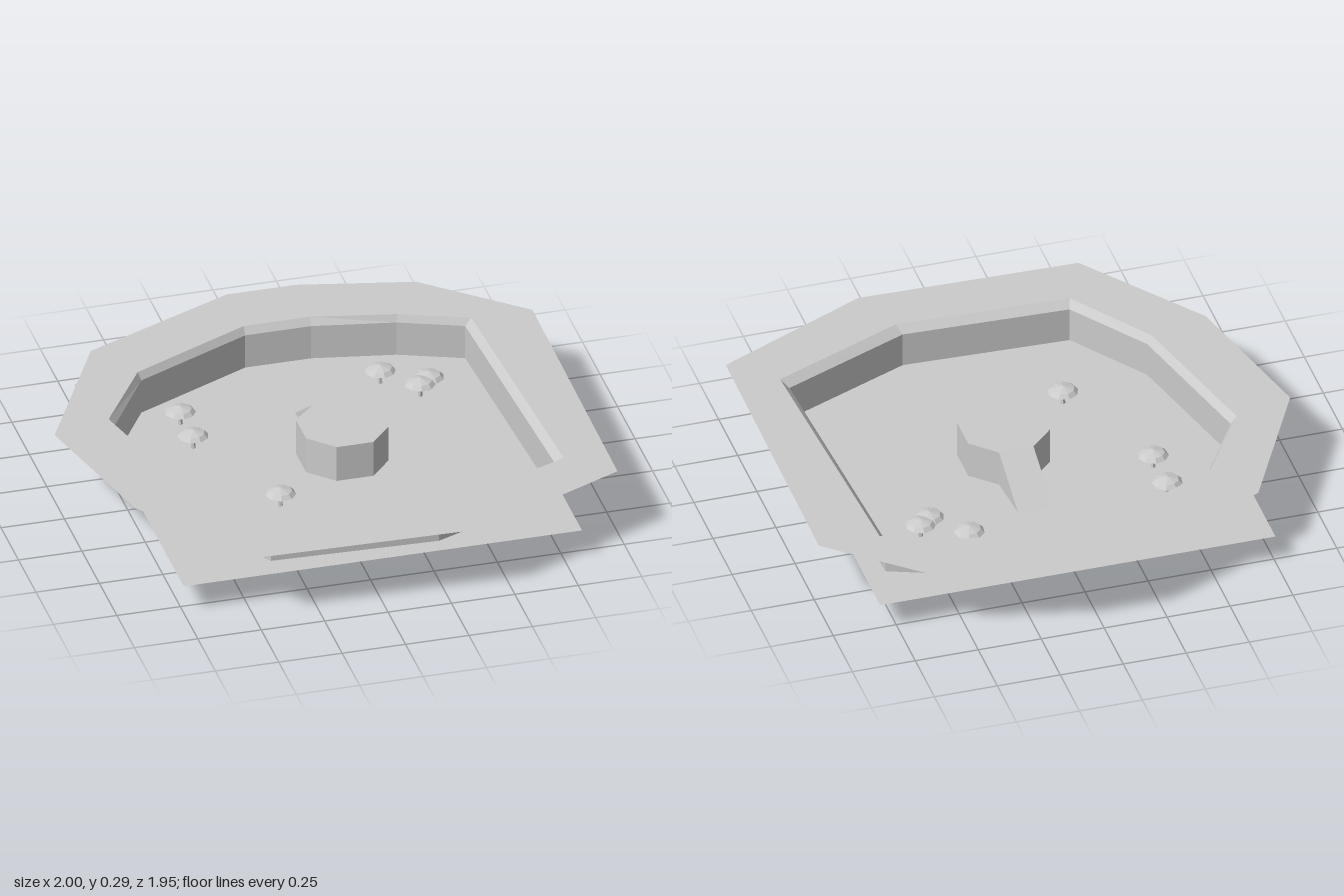
import * as THREE from 'three';

const material = new THREE.MeshStandardMaterial({
  color: 0xcccccc, flatShading: true, side: THREE.DoubleSide,
});

function addMesh(parent, geometry, name) {
  const mesh = new THREE.Mesh(geometry, material);
  mesh.name = name;
  parent.add(mesh);
  return mesh;
}

// Outline of [x, z] pairs lifted to a height
const at = (outline, y) => outline.map(([x, z]) => [x, y, z]);

// Flat-faced strip of quads between two matching rows of points
function strip(a, b, closed = true) {
  const pos = [];
  const n = a.length;
  for (let i = 0; i < (closed ? n : n - 1); i++) {
    const j = (i + 1) % n;
    pos.push(...a[i], ...b[i], ...b[j], ...a[i], ...b[j], ...a[j]);
  }
  const g = new THREE.BufferGeometry();
  g.setAttribute('position', new THREE.Float32BufferAttribute(pos, 3));
  g.computeVertexNormals();
  return g;
}

export function createModel() {
  const model = new THREE.Group();
  model.name = 'sunkenArena';

  const RIM_Y = 0.29, WALL_TOP = 0.26, WALL_BOTTOM = 0.1, FLOOR_Y = 0.118;
  const rimOuter = [[-0.09, -0.98], [0.18, -0.98], [0.63, -0.88], [1, -0.56], [0.99, 0.69],
    [0.38, 0.97], [-0.49, 0.95], [-0.85, 0.47], [-1, -0.14], [-0.7, -0.71]];
  const rimInner = [[-0.09, -0.735], [0.17, -0.735], [0.5, -0.665], [0.76, -0.565], [0.82, 0.54],
    [0.295, 0.76], [-0.39, 0.735], [-0.615, 0.41], [-0.77, -0.2], [-0.57, -0.51]];
  const wall = [[-0.09, -0.715], [0.17, -0.715], [0.49, -0.655], [0.735, -0.56], [0.79, 0.515],
    [0.275, 0.73], [-0.38, 0.705], [-0.595, 0.4], [-0.745, -0.2], [-0.56, -0.495]];

  // Flat surrounding rim, sloping lip and upright pit wall
  addMesh(model, strip(at(rimOuter, RIM_Y), at(rimInner, RIM_Y)), 'rim');
  addMesh(model, strip(at(rimInner, RIM_Y), at(wall, WALL_TOP)), 'lip');
  addMesh(model, strip(at(wall, WALL_TOP), at(wall, WALL_BOTTOM)), 'pitWall');

  // Square floor sheet
  const floor = addMesh(model, new THREE.PlaneGeometry(1.57, 1.57).rotateX(-Math.PI / 2), 'floor');
  floor.position.set(0.035, FLOOR_Y, 0.015);

  // Eight-sided platform, open below and on the edge where the ramp joins
  const TOP_Y = 0.267, BASE_Y = 0.037;
  const octagon = [[0.155, -0.135], [0.25, -0.045], [0.25, 0.1], [0.165, 0.195],
    [0.02, 0.195], [-0.075, 0.1], [-0.075, -0.045], [0.018, -0.135]];
  addMesh(model, strip(at(octagon, BASE_Y), at(octagon, TOP_Y), false), 'platformSides');
  const topShape = new THREE.Shape(octagon.map(([x, z]) => new THREE.Vector2(x, -z)));
  const top = addMesh(model, new THREE.ShapeGeometry(topShape).rotateX(-Math.PI / 2), 'platformTop');
  top.position.y = TOP_Y;

  // Ramp running down through the floor behind the platform
  const rampNear = [[0.018, BASE_Y, -0.135], [0.018, TOP_Y, -0.135],
    [0.155, TOP_Y, -0.135], [0.155, BASE_Y, -0.135]];
  const rampFar = [[-0.002, 0, -0.392], [-0.002, 0.078, -0.392],
    [0.136, 0.078, -0.392], [0.136, 0, -0.392]];
  addMesh(model, strip(rampFar, rampNear, false), 'ramp');

  // Low umbrella-shaped trees
  const trees = [[-0.44, -0.375], [-0.44, -0.19], [-0.235, 0.315],
    [0.375, -0.47], [0.54, -0.375], [0.495, -0.335]];
  const crownProfile = [[0, 0.05], [0.06, 0.053], [0.045, 0.068], [0, 0.08]]
    .map(([r, y]) => new THREE.Vector2(r, y));
  const crown = new THREE.LatheGeometry(crownProfile, 9);
  const trunk = new THREE.CylinderGeometry(0.005, 0.011, 0.064, 5).translate(0, 0.022, 0);
  trees.forEach(([x, z], i) => {
    const tree = new THREE.Group();
    tree.name = 'tree' + (i + 1);
    tree.position.set(x, FLOOR_Y, z);
    tree.rotation.y = i * 0.25;
    addMesh(tree, crown, 'crown');
    addMesh(tree, trunk, 'trunk');
    model.add(tree);
  });

  return model;
}
